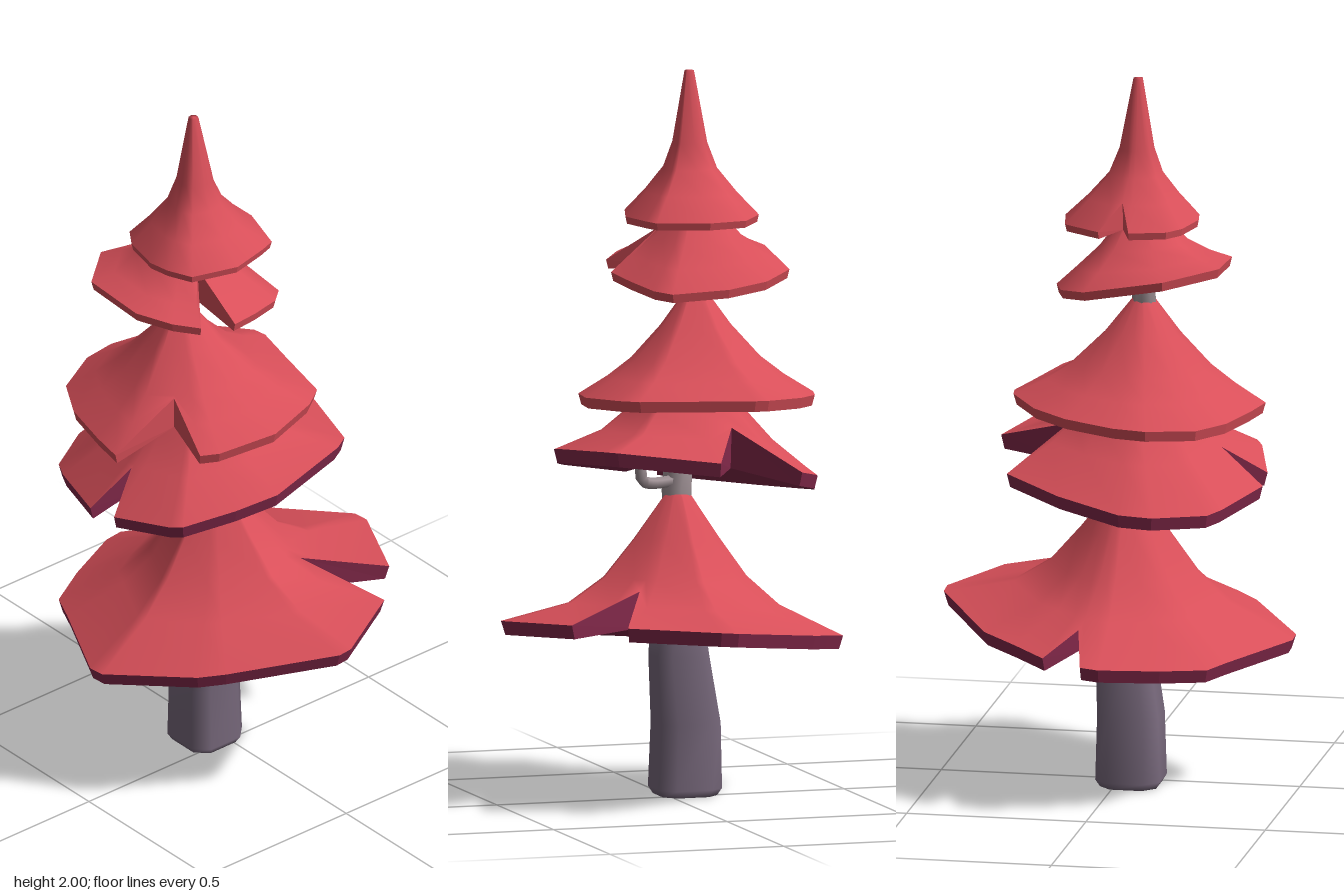
import * as THREE from 'three';

const mat = (name, color) => {
  const m = new THREE.MeshStandardMaterial({ color });
  m.name = name;
  return m;
};

function mesh(name, positions, index, material, flat = false) {
  let g = new THREE.BufferGeometry();
  g.setAttribute('position', new THREE.Float32BufferAttribute(positions.flat(), 3));
  g.setIndex(index);
  if (flat) g = g.toNonIndexed();
  g.computeVertexNormals();
  const m = new THREE.Mesh(g, material);
  m.name = name;
  return m;
}

// Height of a [t, y] profile at t
function sample(profile, t) {
  for (let k = 1; k < profile.length; k++) {
    const [t0, y0] = profile[k - 1], [t1, y1] = profile[k];
    if (t <= t1) return y0 + (y1 - y0) * (t - t0) / (t1 - t0);
  }
  return profile[profile.length - 1][1];
}

// One skirt of foliage: a tilted solid with a curved top, a thick rim and a shallow hollow below.
// Outline points are [x, z] or, at the inner end of a split, [x, z, t limit].
function foliage(name, { centre, apex = centre, tilt, profile, outline, thick, rise, top, rim, under }) {
  const group = new THREE.Group();
  group.name = name;
  const n = outline.length;
  const rimY = profile[profile.length - 1][1];
  const point = ([x, z, limit = 1], t, below) => {
    const s = Math.min(t, limit), r = below ? s * 0.975 : s;
    const px = apex[0] + (x - apex[0]) * r, pz = apex[1] + (z - apex[1]) * r;
    const y = below ? rimY - thick + rise * (1 - s) : sample(profile, s);
    return [px, y + s * (tilt[0] * (px - centre[0]) + tilt[1] * (pz - centre[1])), pz];
  };
  const sheet = below => {
    const pos = [], idx = [];
    profile.forEach(([t]) => outline.forEach(o => pos.push(point(o, t, below))));
    for (let k = 0; k < profile.length - 1; k++) {
      for (let i = 0; i < n; i++) {
        const j = (i + 1) % n, a = k * n + i, b = k * n + j, c = a + n, d = b + n;
        if (below) idx.push(a, c, b, b, c, d);
        else idx.push(a, b, c, b, d, c);
      }
    }
    return [pos, idx];
  };
  group.add(mesh('needleTop', ...sheet(false), top));
  group.add(mesh('needleUnderside', ...sheet(true), under));
  // Rim wall, which also lines the splits
  const pos = [], idx = [];
  outline.forEach(o => pos.push(point(o, 1, false), point(o, 1, true)));
  for (let i = 0; i < n; i++) {
    const a = 2 * i, b = 2 * ((i + 1) % n);
    idx.push(a, b, a + 1, b, b + 1, a + 1);
  }
  group.add(mesh('needleRim', pos, idx, rim, true));
  return group;
}

// Column through sections [x, y, z, half width]; corner > 0 gives a square with cut corners
function column(name, sections, material, corner) {
  const pos = [], idx = [], n = 8;
  for (const [x, y, z, r] of sections) {
    for (let i = 0; i < n; i++) {
      const q = Math.floor(i / 2) * Math.PI / 2;
      const a = corner ? q + (i % 2 ? 1 : -1) * corner : i * Math.PI / 4;
      const d = corner ? r / Math.cos(corner) : r;
      pos.push([x + d * Math.cos(a), y, z + d * Math.sin(a)]);
    }
  }
  for (let k = 0; k < sections.length - 1; k++) {
    for (let i = 0; i < n; i++) {
      const j = (i + 1) % n, a = k * n + i, b = k * n + j;
      idx.push(a, a + n, b, b, a + n, b + n);
    }
  }
  const last = (sections.length - 1) * n;
  for (let i = 1; i < n - 1; i++) {
    idx.push(0, i, i + 1);
    idx.push(last, last + i + 1, last + i);
  }
  return mesh(name, pos, idx, material);
}

export function createModel() {
  const red = mat('red needles', 0xd84f59);
  const maroon = mat('maroon underside', 0x862a4c);
  const bark = mat('purple bark', 0x78697c);
  const pale = mat('pale bark', 0x9e9094);
  const tree = new THREE.Group();
  tree.name = 'tree';

  // Trunk, upper stem and dead branch
  tree.add(column('trunk', [
    [-0.055, 0, 0.04, 0.078], [-0.055, 0.02, 0.04, 0.09], [-0.057, 0.2, 0.04, 0.085],
    [-0.03, 0.39, 0.018, 0.074], [-0.025, 0.56, 0.02, 0.058]], bark, 0.52));
  tree.add(column('upperStem', [
    [-0.03, 0.74, 0.035, 0.04], [-0.03, 0.85, 0.038, 0.043], [-0.045, 0.98, 0.05, 0.041]], pale, 0));
  tree.add(column('topStem', [
    [-0.1, 1.34, 0.085, 0.034], [-0.108, 1.5, 0.085, 0.031]], pale, 0));
  const twig = new THREE.CatmullRomCurve3([[-0.02, 0.87, 0.03], [0.07, 0.875, -0.03],
    [0.1, 0.89, -0.055], [0.105, 0.96, -0.06]].map(p => new THREE.Vector3(...p)));
  const branch = new THREE.Mesh(new THREE.TubeGeometry(twig, 10, 0.016, 6), pale);
  branch.name = 'branch';
  const tip = new THREE.Mesh(new THREE.SphereGeometry(0.016, 6, 4), pale);
  tip.name = 'branchTip';
  tip.position.set(0.105, 0.96, -0.06);
  tree.add(branch, tip);

  // Foliage skirts, bottom to top; outlines run from +x towards +z
  const dark = { top: red, rim: maroon, under: maroon };
  const light = { top: red, rim: red, under: red };
  tree.add(foliage('lowestFoliage', {
    ...dark, thick: 0.038, rise: 0.1, centre: [0, 0], apex: [-0.03, 0.025], tilt: [0.083, -0.104],
    profile: [[0, 0.85], [0.08, 0.83], [0.25, 0.715], [0.42, 0.61], [0.62, 0.535], [1, 0.468]],
    outline: [[0.485, 0.01], [0.31, 0.27], [0.26, 0.33], [0.035, 0.483], [-0.015, 0.483], [-0.27, 0.35],
      [-0.355, 0.31], [-0.42, 0.19], [-0.485, 0.03], [-0.485, -0.02], [-0.47, -0.08, 0.72], [-0.455, -0.13],
      [-0.385, -0.22], [-0.315, -0.32], [-0.04, -0.485], [0.01, -0.485], [0.243, -0.37], [0.3, -0.31, 0.5],
      [0.365, -0.25], [0.485, -0.03]],
  }));
  tree.add(foliage('lowerFoliage', {
    ...dark, thick: 0.038, rise: 0.08, centre: [-0.07, 0.05], tilt: [0.145, -0.12],
    profile: [[0, 1.25], [0.1, 1.22], [0.45, 1.06], [0.65, 0.99], [1, 0.915]],
    outline: [[0.303, 0.08], [0.27, 0.2], [0.21, 0.34], [0.18, 0.36], [0, 0.41], [-0.06, 0.41, 0.68],
      [-0.095, 0.415], [-0.3, 0.34], [-0.355, 0.31], [-0.435, 0.17], [-0.45, 0.08], [-0.39, -0.1],
      [-0.295, -0.26], [-0.194, -0.254, 0.55], [-0.04, -0.325], [0.225, -0.225], [0.25, -0.18]],
  }));
  tree.add(foliage('middleFoliage', {
    ...dark, rim: red, thick: 0.03, rise: 0.07, centre: [-0.1, 0.085], tilt: [0.02, -0.07],
    profile: [[0, 1.4], [0.09, 1.385], [0.3, 1.29], [0.55, 1.2], [0.75, 1.15], [1, 1.1]],
    outline: [[0.235, 0.03], [0.2, 0.2], [0.17, 0.245], [0.1, 0.3, 0.57], [0, 0.405], [-0.1, 0.385],
      [-0.25, 0.345], [-0.36, 0.28], [-0.425, 0.15], [-0.43, 0.06], [-0.39, -0.08], [-0.32, -0.18],
      [-0.2, -0.26], [-0.16, -0.265], [-0.04, -0.235], [0.15, -0.19], [0.19, -0.13]],
  }));
  tree.add(foliage('upperFoliage', {
    ...light, thick: 0.025, rise: 0.045, centre: [-0.1, 0.08], tilt: [-0.06, 0.17],
    profile: [[0, 1.68], [0.15, 1.64], [0.5, 1.54], [0.75, 1.495], [1, 1.457]],
    outline: [[0.14, 0.095], [0.13, 0.15, 0.42], [0.12, 0.2], [0.07, 0.26], [-0.02, 0.315], [-0.21, 0.315],
      [-0.33, 0.18], [-0.33, -0.04], [-0.24, -0.12], [-0.12, -0.155], [0.04, -0.145], [0.08, -0.1],
      [0.115, 0.0]],
  }));
  tree.add(foliage('crownFoliage', {
    ...light, thick: 0.02, rise: 0.04, centre: [-0.075, 0.065], tilt: [0, 0],
    profile: [[0, 2], [0.07, 1.998], [0.26, 1.8], [0.4, 1.73], [0.68, 1.665], [1, 1.602]],
    outline: [[0.11, 0.06], [0.07, 0.19], [0, 0.22], [-0.06, 0.23], [-0.17, 0.205], [-0.22, 0.17],
      [-0.25, 0.07], [-0.25, 0.03, 0.65], [-0.25, -0.015], [-0.18, -0.12], [-0.07, -0.14], [0.07, -0.095],
      [0.085, -0.05]],
  }));
  return tree;
}
